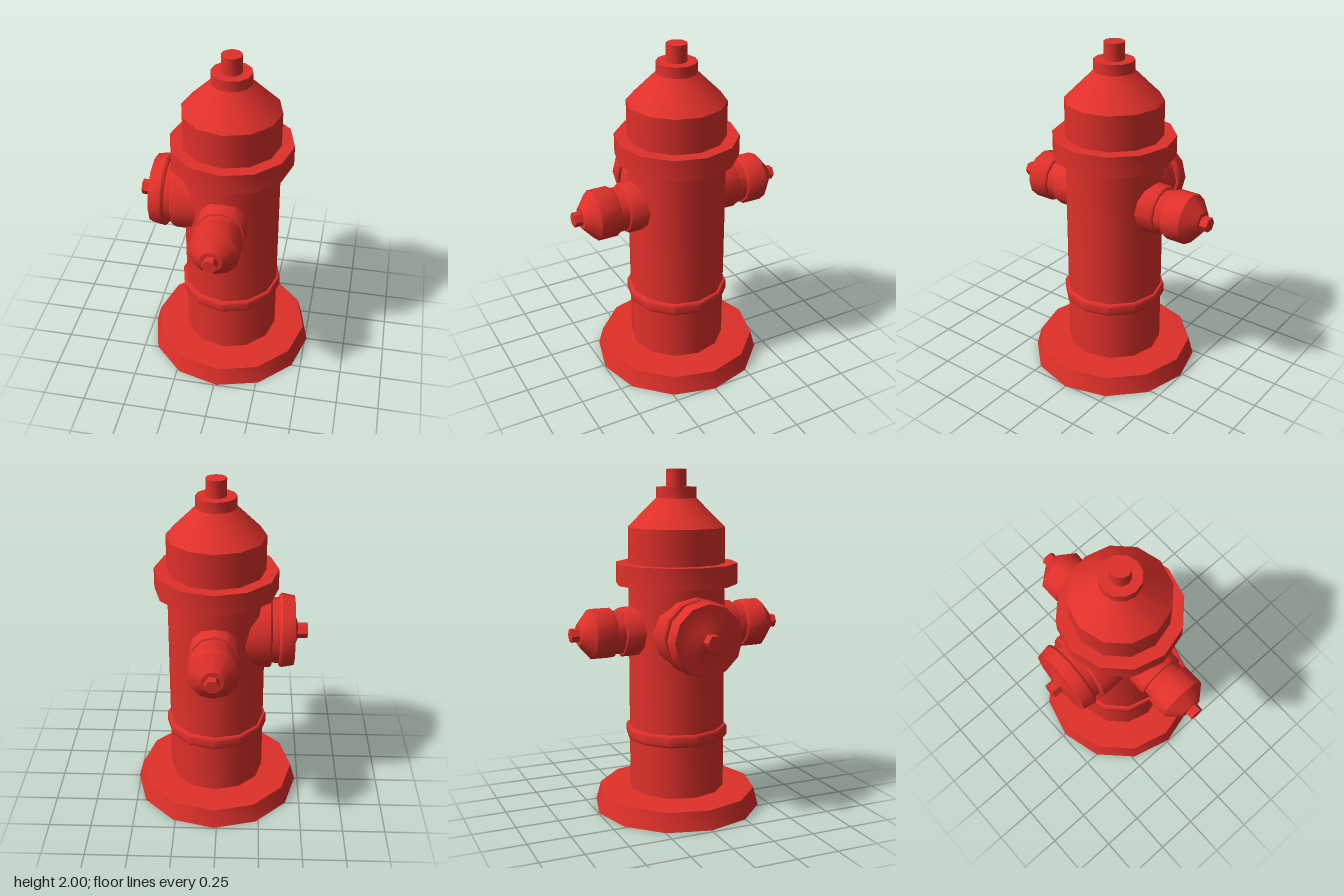
import * as THREE from 'three';
import { toCreasedNormals } from 'three/addons/utils/BufferGeometryUtils.js';

const red = new THREE.MeshStandardMaterial({ color: 0xe0302a });

// Turned part: profile of [radius, height] pairs from bottom to top
function turned(name, profile, sides = 12, spin = 0) {
  const points = profile.map(([r, y]) => new THREE.Vector2(r, y));
  const geometry = toCreasedNormals(new THREE.LatheGeometry(points, sides), sides === 12 ? 0.6 : 0.3);
  geometry.rotateY(spin);
  const mesh = new THREE.Mesh(geometry, red);
  mesh.name = name;
  return mesh;
}

// Outlet along +y, starting at the barrel axis
function outlet(name, neck, cap, nut, spin) {
  const group = new THREE.Group();
  group.name = name;
  group.add(turned(name + 'Neck', neck), turned(name + 'Cap', cap), turned(name + 'Nut', nut, 6, spin));
  group.position.y = 1.08;
  return group;
}

export function createModel() {
  const model = new THREE.Group();
  model.name = 'fireHydrant';
  const body = new THREE.Group();
  body.name = 'hydrantBody';
  body.position.x = 0.015;
  model.add(body);

  // Upright parts
  body.add(
    turned('baseFlange', [[0, 0], [0.497, 0], [0.468, 0.108], [0.28, 0.12], [0, 0.12]]),
    turned('barrel', [[0, 0.1], [0.283, 0.1], [0.283, 1.672], [0.115, 1.838], [0, 1.838]]),
    turned('lowerRing', [[0.27, 0.425], [0.296, 0.43], [0.303, 0.442], [0.303, 0.49], [0.296, 0.5], [0.27, 0.503]]),
    turned('upperCollar', [[0.27, 1.345], [0.356, 1.345], [0.356, 1.467], [0.27, 1.467]]),
    turned('topCap', [[0, 1.83], [0.116, 1.83], [0.116, 1.9], [0, 1.9]]),
    turned('topStem', [[0, 1.89], [0.059, 1.89], [0.059, 2], [0, 2]])
  );

  // Small outlets at front and back
  for (const [name, angle] of [['frontOutlet', Math.PI / 2], ['backOutlet', -Math.PI / 2]]) {
    const small = outlet(name,
      [[0, 0.1], [0.145, 0.1], [0.145, 0.345], [0.138, 0.355], [0.128, 0.357], [0.128, 0.42], [0, 0.42]],
      [[0, 0.408], [0.138, 0.408], [0.145, 0.418], [0.145, 0.532], [0.063, 0.604], [0, 0.604]],
      [[0, 0.59], [0.042, 0.59], [0.042, 0.65], [0, 0.65]], Math.PI / 6);
    small.rotation.x = angle;
    body.add(small);
  }

  // Large outlet on the model's right
  const large = outlet('largeOutlet',
    [[0, 0.1], [0.218, 0.1], [0.218, 0.313], [0.208, 0.323], [0.193, 0.325], [0.193, 0.38], [0, 0.38]],
    [[0, 0.365], [0.208, 0.365], [0.218, 0.38], [0.204, 0.454], [0.1, 0.454], [0.055, 0.472], [0, 0.472]],
    [[0, 0.46], [0.045, 0.46], [0.045, 0.532], [0, 0.532]], 0);
  large.rotation.z = Math.PI / 2;
  body.add(large);

  return model;
}
